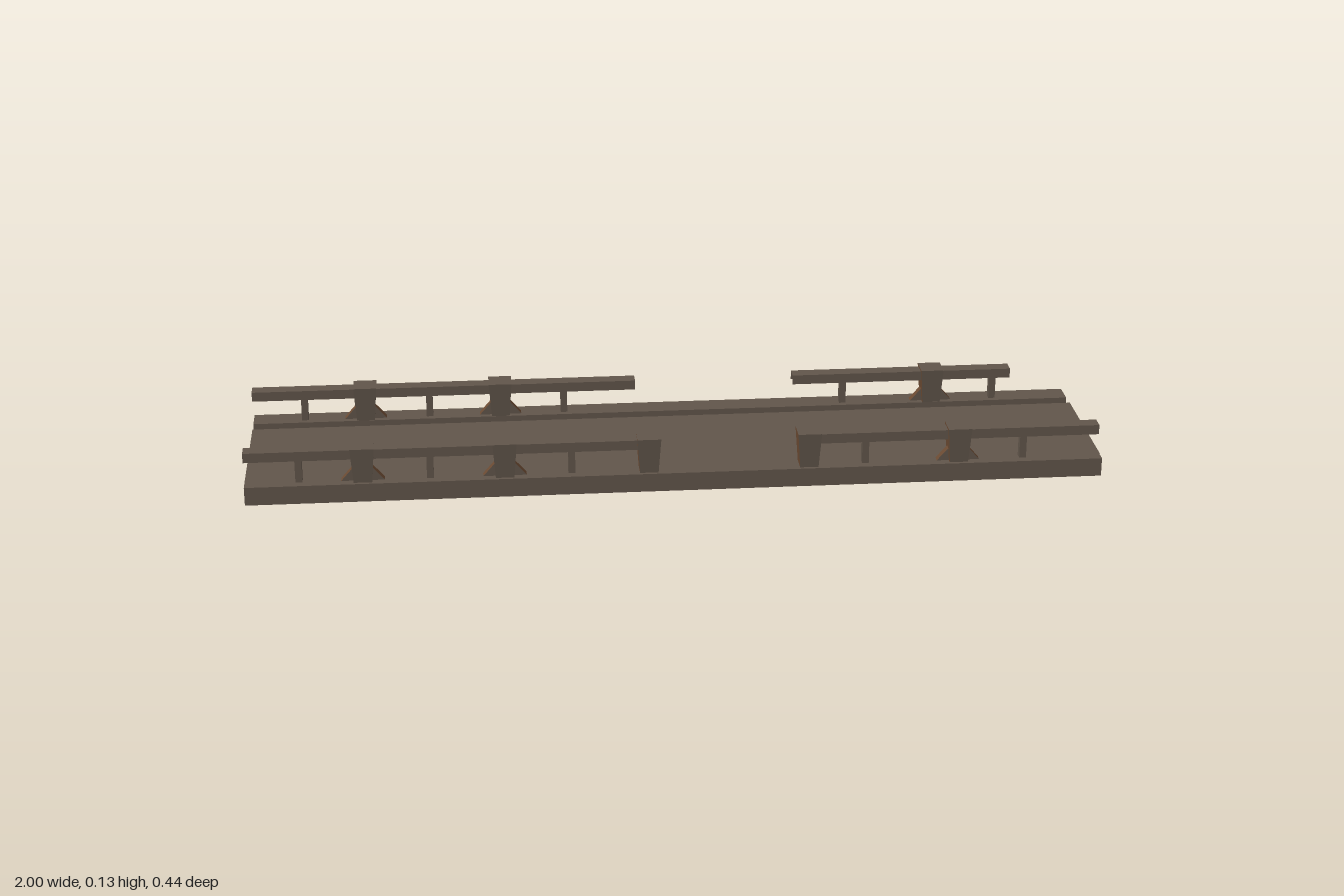
import * as THREE from 'three';

const wood = new THREE.MeshStandardMaterial({ color: 0x62564b, side: THREE.DoubleSide });
wood.name = 'weathered brown';
const rust = new THREE.MeshStandardMaterial({ color: 0x6b4a32, side: THREE.DoubleSide });
rust.name = 'rusty brown';

// Box from min/max corners keeping only the listed faces (0:+x 1:-x 2:+y 3:-y 4:+z 5:-z)
function shell(name, [x0, x1], [y0, y1], [z0, z1], faces) {
  const g = new THREE.BoxGeometry(x1 - x0, y1 - y0, z1 - z0);
  const index = Array.from(g.index.array);
  g.setIndex(faces.flatMap(f => index.slice(f * 6, f * 6 + 6)));
  g.clearGroups();
  g.translate((x0 + x1) / 2, (y0 + y1) / 2, (z0 + z1) / 2);
  const mesh = new THREE.Mesh(g, wood);
  mesh.name = name;
  return mesh;
}

const DECK_Y = 0.03, CURB_TOP = 0.044, RAIL_BOTTOM = 0.1, RAIL_TOP = 0.123, POST_TOP = 0.128;

// Big post, wider at the top than at the foot
function bigPost(x, z) {
  const g = new THREE.BoxGeometry(0.055, POST_TOP - CURB_TOP, 0.055);
  const p = g.attributes.position;
  for (let i = 0; i < p.count; i++) {
    if (p.getY(i) < 0) p.setXYZ(i, p.getX(i) * 0.78, p.getY(i), p.getZ(i) * 0.8);
  }
  g.computeVertexNormals();
  const mesh = new THREE.Mesh(g, [wood, rust, wood, wood, wood, rust]);
  mesh.position.set(x, (POST_TOP + CURB_TOP) / 2, z);
  mesh.name = 'bigPost';
  return mesh;
}

// Triangular foot brace on one side of a big post
function brace(x, z, side) {
  const s = new THREE.Shape();
  s.moveTo(0.018 * side, 0);
  s.lineTo(0.05 * side, 0);
  s.lineTo(0.022 * side, 0.032);
  const g = new THREE.ExtrudeGeometry(s, { depth: 0.018, bevelEnabled: false });
  g.translate(x, CURB_TOP, z - 0.009);
  const mesh = new THREE.Mesh(g, [wood, rust]);
  mesh.name = 'postBrace';
  return mesh;
}

function railing(name, z, rails, endPosts) {
  const group = new THREE.Group();
  group.name = name;
  for (const span of rails)
    group.add(shell('handrail', span, [RAIL_BOTTOM, RAIL_TOP], [z - 0.017, z + 0.017], [2, 4, 5]));
  for (const x of [-0.727, -0.402, 0.653])
    group.add(bigPost(x, z), brace(x, z, 1), brace(x, z, -1));
  for (const x of endPosts) group.add(bigPost(x, z));
  for (const x of [-0.873, -0.573, -0.248, 0.435, 0.806])
    group.add(shell('smallPost', [x - 0.008, x + 0.008], [CURB_TOP, RAIL_BOTTOM],
      [z - 0.009, z + 0.009], [0, 1, 4, 5]));
  return group;
}

// Hollow curb: open ends and underside, with both walls hanging below the deck
function curb(name, inner, outer) {
  const group = new THREE.Group();
  group.name = name;
  const z = [Math.min(inner, outer), Math.max(inner, outer)];
  const front = outer > 0;
  group.add(shell('curbOuter', [-0.997, 0.99], [0, CURB_TOP], z, [2, front ? 4 : 5]));
  group.add(shell('curbInner', [-0.997, 0.99], [0.004, CURB_TOP], z, [front ? 5 : 4]));
  return group;
}

export function createModel() {
  const model = new THREE.Group();
  model.name = 'footbridge';

  // Thin deck sheet between the curbs, a low step below their tops
  model.add(shell('deck', [-1, 1], [0, DECK_Y], [-0.162, 0.158], [2]));

  model.add(curb('frontCurb', 0.158, 0.217), curb('backCurb', -0.162, -0.22));

  // Front railing has end posts at the opening; back railing does not
  model.add(railing('frontRailing', 0.187, [[-0.997, -0.07], [0.3, 0.982]], [-0.07, 0.302]));
  model.add(railing('backRailing', -0.185, [[-0.997, -0.075], [0.31, 0.847]], []));
  return model;
}
